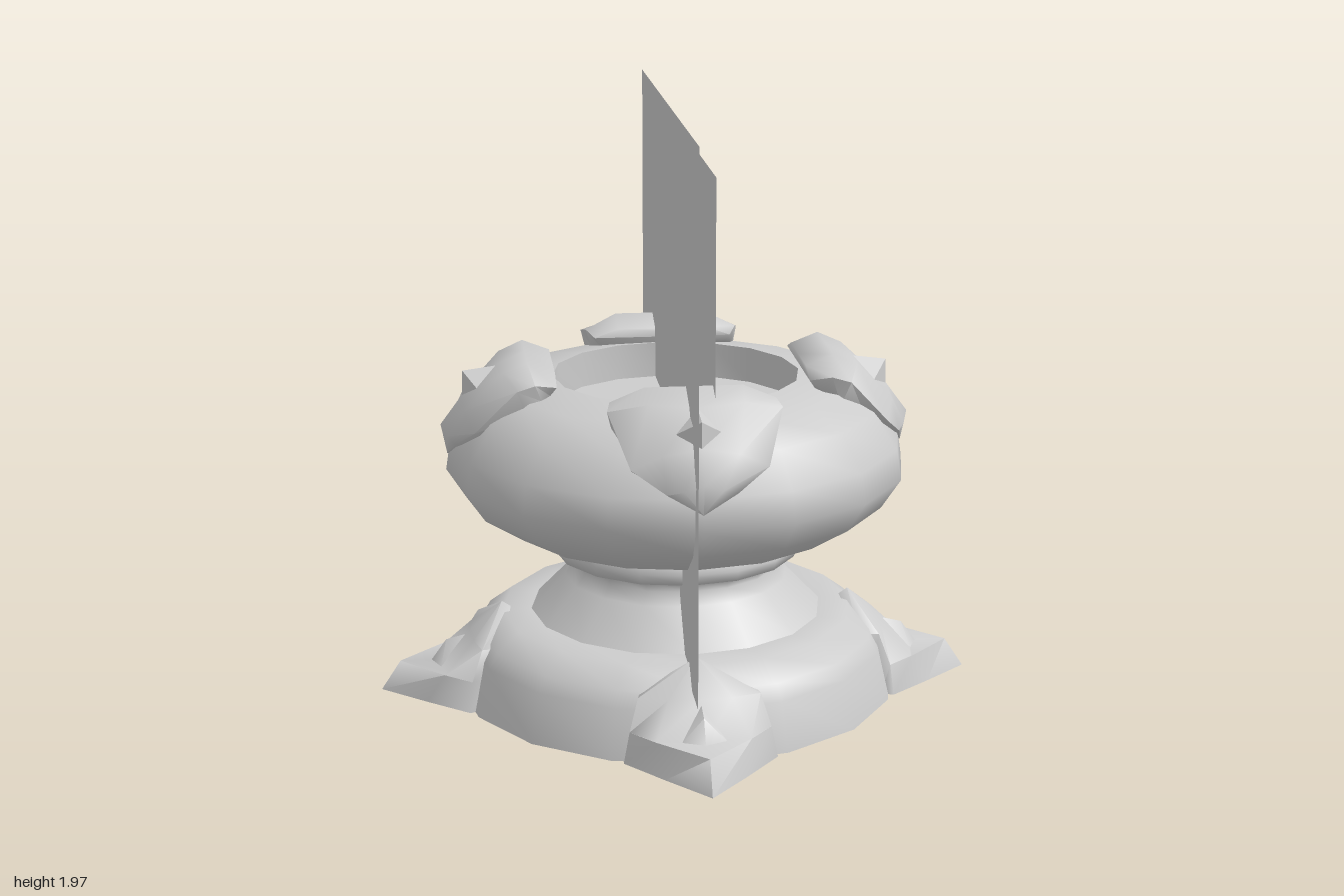
import * as THREE from 'three';
import { toCreasedNormals } from 'three/addons/utils/BufferGeometryUtils.js';

const stone = new THREE.MeshStandardMaterial({ color: 0xcccccc, side: THREE.DoubleSide });
stone.name = 'grey stone';

function part(name, geometry, crease) {
  const mesh = new THREE.Mesh(crease ? toCreasedNormals(geometry, crease) : geometry, stone);
  mesh.name = name;
  return mesh;
}

function turned(name, profile) {
  const points = profile.map(([r, y]) => new THREE.Vector2(r, y));
  return part(name, new THREE.LatheGeometry(points, 16), 1.2);
}

function triangles(pos) {
  const g = new THREE.BufferGeometry();
  g.setAttribute('position', new THREE.Float32BufferAttribute(pos, 3));
  g.computeVertexNormals();
  return g;
}

// Mirrored slab: each row lists edge [x,y,z], mid [x,y,z], centre [y,z], back [y,z]
function slab(rows) {
  const rings = rows.map(([e, m, c, b]) => [
    [-e[0], e[1], e[2]], [-m[0], m[1], m[2]], [0, ...c], m, e,
    [e[0] * 0.93, ...b], [-e[0] * 0.93, ...b],
  ]);
  const pos = [];
  const n = 7;
  for (let r = 0; r < rings.length - 1; r++) {
    for (let i = 0; i < n; i++) {
      const j = (i + 1) % n, a = rings[r], b = rings[r + 1];
      pos.push(...a[i], ...a[j], ...b[j], ...a[i], ...b[j], ...b[i]);
    }
  }
  const last = rings[rings.length - 1];
  for (let i = 1; i < n - 1; i++) pos.push(...last[0], ...last[i], ...last[i + 1]);
  return triangles(pos);
}

// Faceted stud: tip, side, top and bottom points, mirrored in x
function stud(name, tip, side, top, bottom) {
  const t = [0, ...tip];
  const ring = [[0, ...bottom], side, [0, ...top], [-side[0], side[1], side[2]]];
  return part(name, triangles(ring.flatMap((p, i) => [...p, ...ring[(i + 1) % 4], ...t])), 1.0);
}

// Pointed foot with a ledge and a shield-shaped upper part
function makeFoot() {
  const foot = new THREE.Group();
  foot.add(part('footClaw', slab([
    [[0.245, 0, 0.71], [0.13, 0, 0.85], [0, 1.0], [0, 0.67]],
    [[0.225, 0.1, 0.70], [0.15, 0.1, 0.79], [0.1, 0.935], [0.1, 0.65]],
    [[0.225, 0.1, 0.70], [0.15, 0.1, 0.785], [0.1, 0.81], [0.1, 0.65]],
    [[0.195, 0.2, 0.665], [0.10, 0.2, 0.69], [0.2, 0.70], [0.2, 0.60]],
    [[0, 0.3, 0.59], [0, 0.3, 0.59], [0.3, 0.59], [0.28, 0.56]],
  ]), 1.25));
  foot.add(stud('footStud', [0.17, 0.78], [0.07, 0.1, 0.80], [0.19, 0.70], [0.1, 0.83]));
  return foot;
}

// Clasp folded over the bowl rim
function makeClasp() {
  const clasp = new THREE.Group();
  clasp.add(part('rimClasp', slab([
    [[0, 0.825, 0.76], [0, 0.825, 0.76], [0.825, 0.76], [0.825, 0.74]],
    [[0.11, 0.885, 0.735], [0.06, 0.90, 0.76], [0.925, 0.78], [0.87, 0.68]],
    [[0.215, 0.95, 0.675], [0.12, 1.0, 0.705], [1.02, 0.71], [0.92, 0.62]],
    [[0.275, 1.10, 0.54], [0.15, 1.13, 0.58], [1.12, 0.595], [1.02, 0.51]],
    [[0.262, 1.115, 0.48], [0.155, 1.165, 0.50], [1.165, 0.50], [1.06, 0.46]],
    [[0.235, 1.10, 0.41], [0.155, 1.13, 0.41], [1.13, 0.41], [1.07, 0.43]],
  ]), 1.25));
  clasp.add(stud('claspStud', [1.105, 0.705], [0.08, 1.05, 0.65], [1.12, 0.59], [1.02, 0.708]));
  return clasp;
}

export function createModel() {
  const model = new THREE.Group();
  model.name = 'brazier';

  model.add(turned('base', [[0.74, 0], [0.7, 0.16], [0.67, 0.21], [0.59, 0.27], [0.49, 0.27]]));
  model.add(turned('neck', [[0.49, 0.27], [0.375, 0.39], [0.345, 0.43], [0.35, 0.46],
    [0.41, 0.475], [0.42, 0.51], [0.41, 0.535]]));
  model.add(turned('bowl', [[0.41, 0.535], [0.56, 0.58], [0.70, 0.67], [0.765, 0.77],
    [0.75, 0.87], [0.67, 0.985], [0.57, 1.055], [0.41, 1.08], [0.41, 0.96], [0, 0.96]]));

  // Four feet and four clasps around the axis
  for (let i = 0; i < 4; i++) {
    const foot = makeFoot(), clasp = makeClasp();
    foot.name = 'foot' + i;
    clasp.name = 'clasp' + i;
    foot.rotation.y = clasp.rotation.y = i * Math.PI / 2;
    model.add(foot, clasp);
  }

  // Two upright flame cards standing in the bowl
  const outer = part('outerFlameCard', new THREE.PlaneGeometry(1.665, 1.75));
  outer.position.set(-0.025, 1.095, 0);
  const inner = part('innerFlameCard', new THREE.PlaneGeometry(1.12, 1.18));
  inner.position.set(0.06, 1.24, 0);
  outer.rotation.y = inner.rotation.y = Math.PI / 2;
  model.add(outer, inner);

  return model;
}
